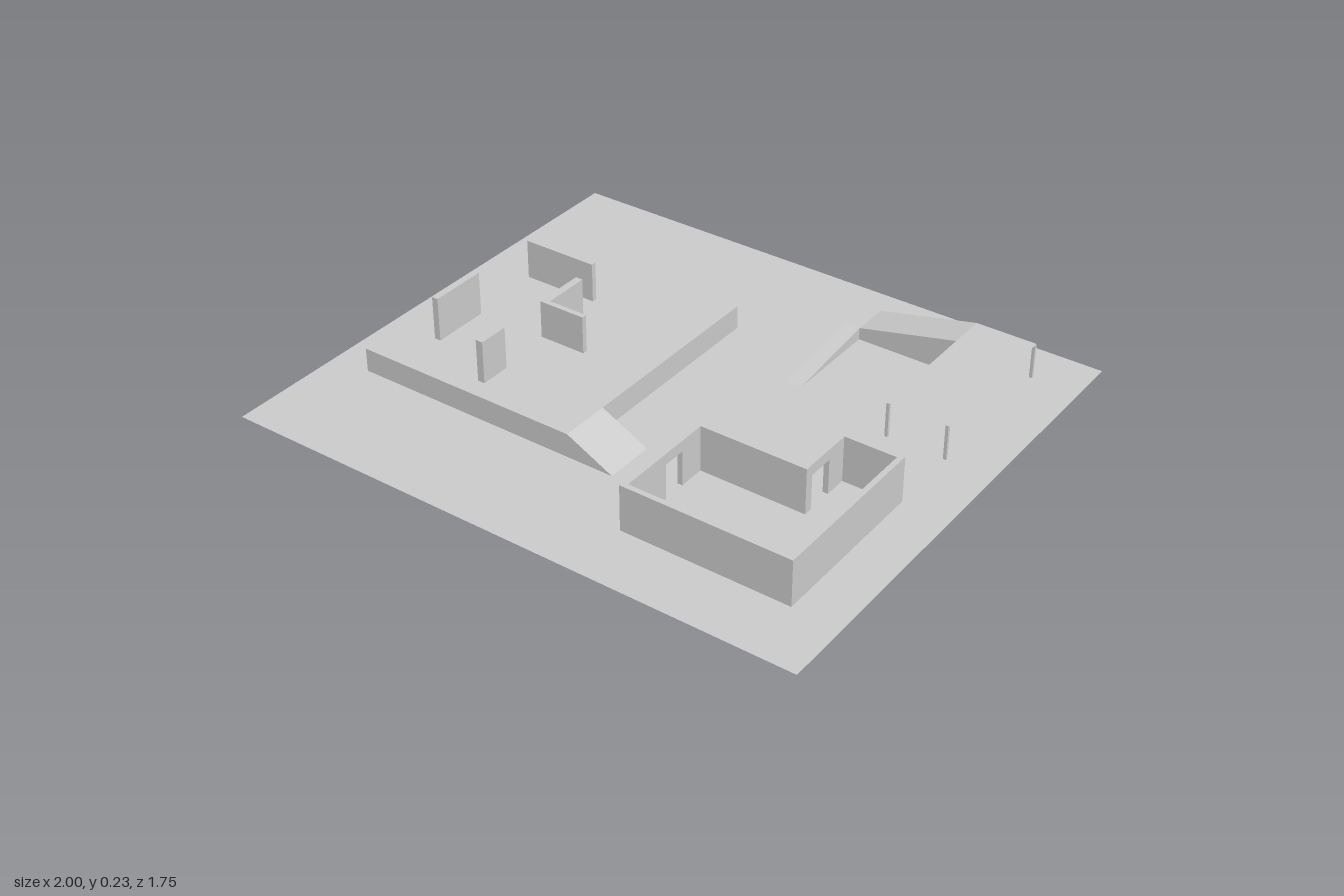
import * as THREE from 'three';

const material = new THREE.MeshStandardMaterial({ color: 0xcccccc, flatShading: true, side: THREE.DoubleSide });

// Footprints are lists of [x, z] corners
const rect = (x0, x1, z0, z1) => [[x0, z0], [x1, z0], [x1, z1], [x0, z1]];
const toPlan = (points) => points.map(([x, z]) => new THREE.Vector2(x, -z));

// Horizontal sheet with openings; height(x, z) may tilt it
function sheet(points, height, holes = []) {
  const shape = new THREE.Shape(toPlan(points));
  shape.holes = holes.map((h) => new THREE.Path(toPlan(h)));
  const geometry = new THREE.ShapeGeometry(shape).rotateX(-Math.PI / 2).toNonIndexed();
  const p = geometry.attributes.position;
  for (let i = 0; i < p.count; i++) p.setY(i, height(p.getX(i), p.getZ(i)));
  geometry.computeVertexNormals();
  return geometry;
}

// Upright faces around a footprint, from y0 up to height(x, z)
function skirt(points, y0, height) {
  const ring = THREE.ShapeUtils.isClockWise(toPlan(points)) ? [...points].reverse() : points;
  const corners = [];
  ring.forEach(([ax, az], i) => {
    const [bx, bz] = ring[(i + 1) % ring.length];
    const a = [ax, y0, az], b = [bx, y0, bz];
    const c = [bx, height(bx, bz), bz], d = [ax, height(ax, az), az];
    corners.push(...a, ...b, ...c, ...a, ...c, ...d);
  });
  const geometry = new THREE.BufferGeometry();
  geometry.setAttribute('position', new THREE.Float32BufferAttribute(corners, 3));
  geometry.computeVertexNormals();
  return geometry;
}

function addMesh(parent, name, geometry) {
  const mesh = new THREE.Mesh(geometry, material);
  mesh.name = name;
  parent.add(mesh);
}

// Hollow block, open underneath
function addBlock(parent, name, points, y0, top, holes = []) {
  const height = typeof top === 'function' ? top : () => top;
  const block = new THREE.Group();
  block.name = name;
  addMesh(block, name + 'Sides', skirt(points, y0, height));
  addMesh(block, name + 'Top', sheet(points, height, holes));
  parent.add(block);
}

function addBox(parent, name, x0, x1, y0, y1, z0, z1) {
  const geometry = new THREE.BoxGeometry(x1 - x0, y1 - y0, z1 - z0);
  geometry.translate((x0 + x1) / 2, (y0 + y1) / 2, (z0 + z1) / 2);
  addMesh(parent, name, geometry);
}

export function createModel() {
  const model = new THREE.Group();
  model.name = 'courtyardLayout';

  const platform = rect(-0.865, -0.07, -0.42, 0.463);
  const platformHeight = 0.082;

  // Free-standing walls on the platform: footprint and top height
  const screens = [
    [rect(-0.73, -0.465, -0.19, -0.172), 0.218],
    [[[-0.465, -0.09], [-0.44, -0.09], [-0.44, 0.072], [-0.3, 0.072], [-0.3, 0.09], [-0.465, 0.09]], 0.212],
    [rect(-0.73, -0.708, 0.095, 0.292), 0.233],
    [rect(-0.465, -0.44, 0.292, 0.397), 0.228],
  ];

  // L-shaped enclosure, split into two runs by its doorways
  const roomWalls = [
    [[0.63, 0.17], [0.63, 0.077], [0.84, 0.077], [0.84, 0.655], [0.267, 0.655], [0.267, 0.46],
      [0.285, 0.46], [0.285, 0.637], [0.822, 0.637], [0.822, 0.093], [0.648, 0.093], [0.648, 0.17]],
    [[0.648, 0.26], [0.648, 0.29], [0.285, 0.29], [0.285, 0.38], [0.267, 0.38], [0.267, 0.272],
      [0.63, 0.272], [0.63, 0.26]],
  ];

  // Ground, left open below the hollow structures
  addMesh(model, 'ground', sheet(rect(-1, 1, -0.874, 0.874), () => 0, [platform, ...roomWalls]));

  // Platform with its entry ramp and walls
  addBlock(model, 'platform', platform, 0, platformHeight, screens.map(([footprint]) => footprint));
  addBlock(model, 'platformRamp', rect(-0.07, 0.093, 0.292, 0.463), 0,
    (x) => platformHeight * (0.093 - x) / 0.163);
  for (const [footprint, top] of screens) addBlock(model, 'screenWall', footprint, platformHeight, top);

  // Enclosure walls and the lintels over the doorways
  for (const run of roomWalls) addBlock(model, 'roomWall', run, 0, 0.157);
  addBox(model, 'doorLintel', 0.63, 0.648, 0.12, 0.157, 0.17, 0.26);
  addBox(model, 'doorLintel', 0.267, 0.285, 0.12, 0.157, 0.38, 0.46);

  // Turning ramp: lower leg, landing, upper leg
  const deckY = 0.121, landingY = 0.042;
  addBlock(model, 'lowerRamp', rect(0.23, 0.285, -0.59, -0.25), 0, (x, z) => landingY * (-0.25 - z) / 0.34);
  addBlock(model, 'rampLanding', rect(0.23, 0.285, -0.72, -0.59), 0, landingY);
  addBlock(model, 'upperRamp', rect(0.285, 0.63, -0.72, -0.59), 0,
    (x) => landingY + (deckY - landingY) * (x - 0.285) / 0.345);

  // Thin deck on slender posts
  addMesh(model, 'deck', sheet(rect(0.63, 0.84, -0.72, -0.173), () => deckY));
  for (const [x, z] of [[0.835, -0.715], [0.835, -0.178], [0.635, -0.178]]) {
    addBox(model, 'deckPost', x - 0.005, x + 0.005, 0, deckY - 0.001, z - 0.005, z + 0.005);
  }
  return model;
}
